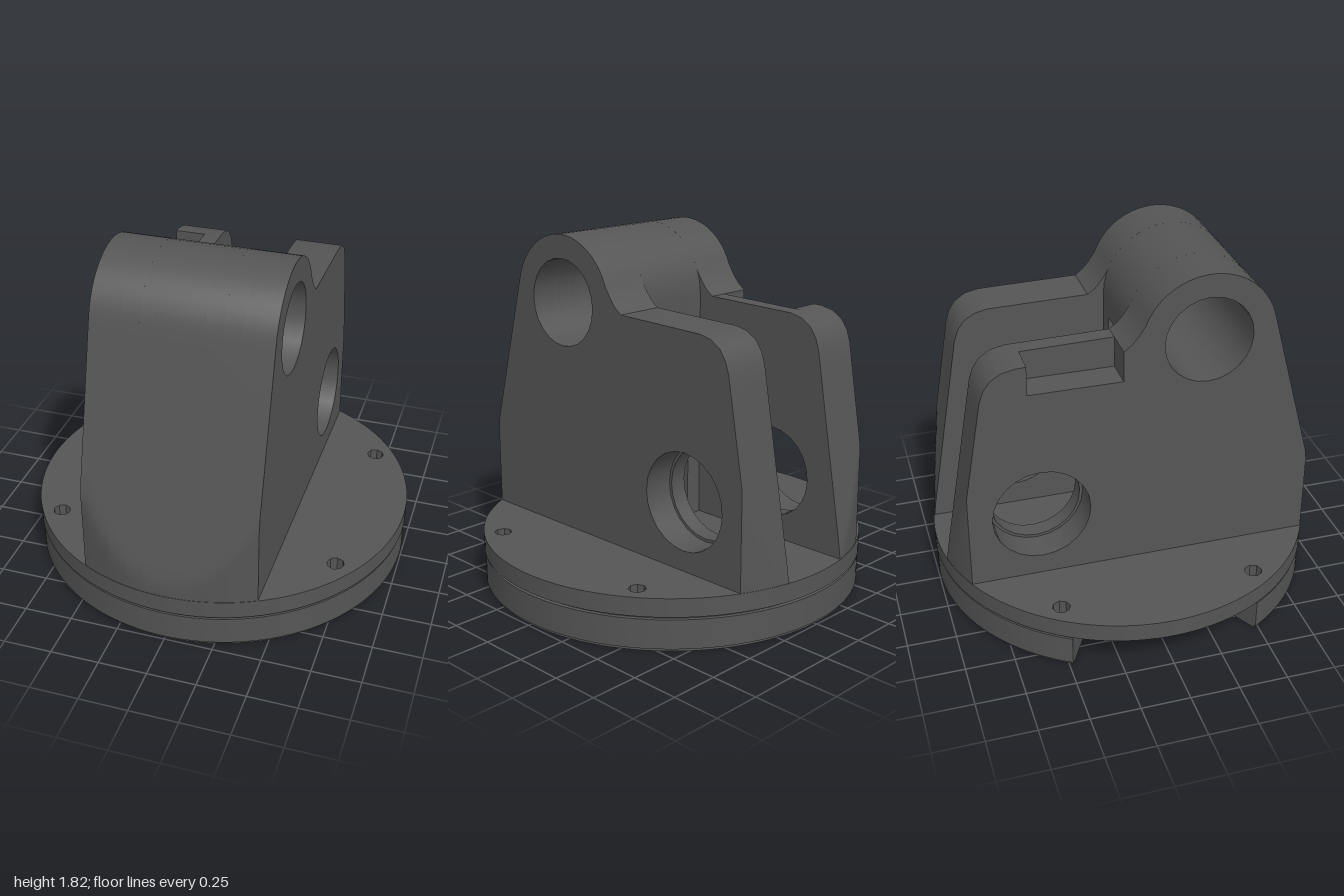
import * as THREE from 'three';
import { mergeGeometries, toCreasedNormals } from 'three/addons/utils/BufferGeometryUtils.js';

const RIM = 1, FLOOR = 0.27, TOP = 0.275;
const EYE = { z: 0.33, y: 1.48, outer: 0.345, bore: 0.225 };
const rad = THREE.MathUtils.degToRad;

function circleHole(x, y, r, n = 24) {
  const pts = [];
  for (let i = 0; i < n; i++) {
    const a = (i / n) * Math.PI * 2;
    pts.push(new THREE.Vector2(x + r * Math.cos(a), y + r * Math.sin(a)));
  }
  return new THREE.Path(pts);
}

// Sloping front edge and rounded eye, as [z, y] points, ending at the given arc angle
function frontAndEye(endDeg) {
  const pts = [];
  for (let i = 0; i <= 24; i++) {
    const t = i / 24;
    pts.push([Math.min(1, 1.016 - 0.353 * t), FLOOR + (1.569 - FLOOR) * t]);
  }
  for (let i = 1; i <= 20; i++) {
    const a = rad(15 + ((endDeg - 15) * i) / 20);
    pts.push([EYE.z + EYE.outer * Math.cos(a), EYE.y + EYE.outer * Math.sin(a)]);
  }
  return pts;
}

// Extrude a [z, y] profile from x0 to x1 and trim it to the round base
function slab(points, holes, x0, x1, steps) {
  const shape = new THREE.Shape(points.map(([z, y]) => new THREE.Vector2(z, y)));
  shape.holes.push(...holes);
  const geo = new THREE.ExtrudeGeometry(shape, { depth: x1 - x0, steps, bevelEnabled: false });
  geo.rotateY(-Math.PI / 2).translate(x1, 0, 0);
  const p = geo.attributes.position;
  for (let i = 0; i < p.count; i++) {
    const limit = Math.sqrt(RIM * RIM - p.getX(i) ** 2) - 0.002;
    p.setZ(i, THREE.MathUtils.clamp(p.getZ(i), -limit, limit));
  }
  return toCreasedNormals(geo, 0.55);
}

const eyeHole = () => circleHole(EYE.z, EYE.y, EYE.bore);

// One layer of a side cheek, with the eye bore and the rear pin hole
function cheekLayer(x0, x1, pinRadius, notched) {
  const pts = frontAndEye(160);
  pts.push([-0.03, 1.545], [-0.06, 1.51], [-0.1, 1.48]);
  if (notched) pts.push([-0.1, 1.32], [-0.57, 1.32], [-0.57, 1.472]);
  pts.push([-0.62, 1.47], [-0.69, 1.455], [-0.745, 1.42], [-0.78, 1.37], [-0.8, 1.31]);
  for (let i = 1; i <= 16; i++) {
    const t = i / 16;
    pts.push([-0.8 - 0.18 * t, 1.31 + (FLOOR - 1.31) * t]);
  }
  return slab(pts, [eyeHole(), circleHole(-0.52, 0.63, pinRadius)], x0, x1, 5);
}

// Middle web between the cheeks, its back hollowed by the vertical centre bore
function coreStrip(x0, x1, steps) {
  const r = 0.11, x = (x0 + x1) / 2, back = EYE.z - EYE.outer;
  const pts = frontAndEye(180);
  if (Math.abs(x) < r) {
    const z = Math.sqrt(r * r - x * x);
    pts.push([back, 1.38], [z, 1.38], [z, FLOOR]);
  } else pts.push([back, FLOOR]);
  return slab(pts, [eyeHole()], x0, x1, steps);
}

// Horizontal disc; a cut angle leaves out a sector around -x
function disc(radius, y0, y1, bore, cutDeg, holes) {
  const shape = new THREE.Shape();
  if (cutDeg) {
    const a = Math.PI - rad(cutDeg);
    shape.absarc(0, 0, radius, -a, a, false);
    shape.absarc(0, 0, bore, a, -a, true);
  } else {
    shape.absarc(0, 0, radius, 0, Math.PI * 2, false);
    shape.holes.push(circleHole(0, 0, bore));
  }
  shape.holes.push(...holes);
  const geo = new THREE.ExtrudeGeometry(shape, { depth: y1 - y0, bevelEnabled: false, curveSegments: 72 });
  geo.rotateX(-Math.PI / 2).translate(0, y0, 0);
  return toCreasedNormals(geo, 0.55);
}

export function createModel() {
  const group = new THREE.Group();
  const material = new THREE.MeshStandardMaterial({ color: 0x555555 });
  const add = (name, geo) => {
    const mesh = new THREE.Mesh(geo, material);
    mesh.name = name;
    group.add(mesh);
  };

  // Screw holes near the rim and the ring of small holes underneath
  const screwHoles = () => [[1, 1], [1, -1], [-1, 1], [-1, -1]]
    .map(([sx, sz]) => circleHole(sx * 0.745, sz * 0.505, 0.045, 8));
  const ringHoles = () => {
    const out = [];
    for (let i = 0; i < 8; i++) {
      const a = rad(22.5 + 45 * i);
      if (Math.cos(a) > -0.8) out.push(circleHole(0.39 * Math.cos(a), 0.39 * Math.sin(a), 0.035, 8));
    }
    return out;
  };

  // Round base
  add('flange', disc(RIM, 0.18, TOP, 0.12, 0, screwHoles()));
  add('baseGroove', disc(0.975, 0.165, 0.18, 0.14, 29, [...screwHoles(), ...ringHoles()]));
  add('lowerDisc', disc(0.995, 0.015, 0.165, 0.14, 29, [...screwHoles(), ...ringHoles()]));
  add('lowerChamfer', disc(0.985, 0, 0.015, 0.14, 29, [...screwHoles(), ...ringHoles()]));

  // Side cheeks; the right one has a notch in its top
  add('leftCheek', mergeGeometries([
    cheekLayer(0.2, 0.29, 0.235, false), cheekLayer(0.29, 0.45, 0.25, false)]));
  add('rightCheek', mergeGeometries([
    cheekLayer(-0.29, -0.2, 0.235, false), cheekLayer(-0.45, -0.29, 0.25, true)]));

  // Web joining the cheeks at the front
  const strips = [coreStrip(-0.2, -0.11, 3), coreStrip(0.11, 0.2, 3)];
  const n = 12, w = 0.22 / n;
  for (let i = 0; i < n; i++) strips.push(coreStrip(-0.11 + i * w, -0.11 + (i + 1) * w, 1));
  add('frontWeb', mergeGeometries(strips));
  return group;
}
